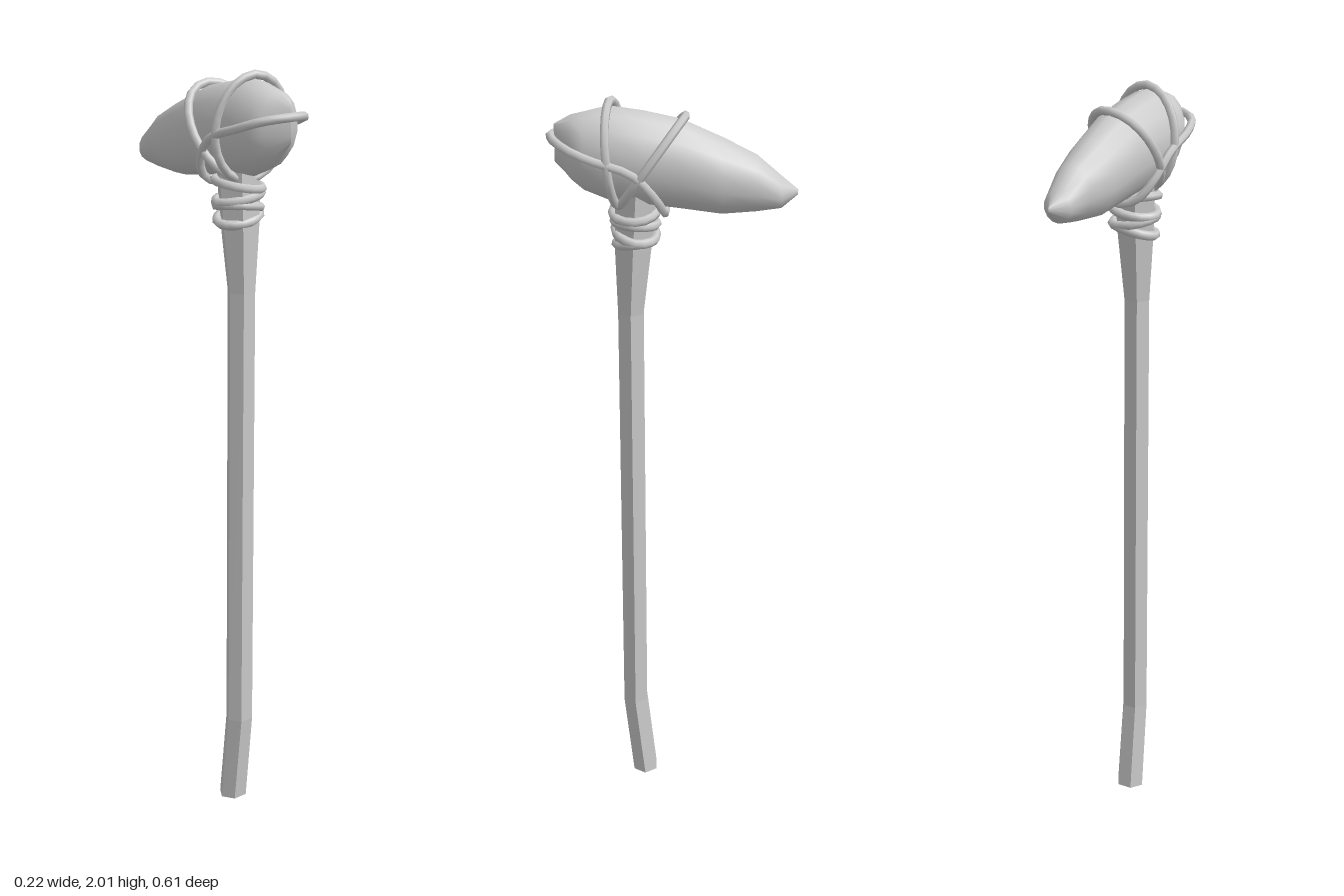
import * as THREE from 'three';

const stoneMat = new THREE.MeshStandardMaterial({ color: 0xcccccc });
const woodMat = new THREE.MeshStandardMaterial({ color: 0xcccccc, flatShading: true });

// Skin a list of equal-length rings of points, optionally closing both ends.
function loft(rings, caps) {
  const n = rings[0].length, index = [];
  for (let i = 0; i < rings.length - 1; i++) {
    for (let j = 0; j < n; j++) {
      const k = (j + 1) % n;
      const a = i * n + j, b = i * n + k, c = a + n, d = b + n;
      index.push(a, c, b, b, c, d);
    }
  }
  if (caps) {
    const t = (rings.length - 1) * n;
    for (let j = 1; j < n - 1; j++) index.push(0, j, j + 1, t, t + j + 1, t + j);
  }
  const geo = new THREE.BufferGeometry().setFromPoints(rings.flat());
  geo.setIndex(index);
  geo.computeVertexNormals();
  return geo;
}

function ring(n, fn) {
  return Array.from({ length: n }, (_, j) => fn((j / n) * Math.PI * 2));
}

// Stone sections: z, half width, top, bottom
const stone = [
  [-0.306, 0, 1.775, 1.762],
  [-0.265, 0.04, 1.808, 1.729],
  [-0.205, 0.055, 1.862, 1.72],
  [-0.12, 0.074, 1.906, 1.714],
  [-0.02, 0.083, 1.952, 1.728],
  [0.07, 0.088, 1.972, 1.74],
  [0.155, 0.087, 1.985, 1.75],
  [0.215, 0.073, 1.97, 1.775],
  [0.245, 0.058, 1.963, 1.8],
  [0.286, 0, 1.94, 1.845],
];

// Point on the stone at depth z, angle t from the top, pushed out by off.
function stonePoint(z, t, off = 0) {
  let i = 0;
  while (i < stone.length - 2 && z > stone[i + 1][0]) i++;
  const f = (z - stone[i][0]) / (stone[i + 1][0] - stone[i][0]);
  const [w, top, bot] = [1, 2, 3].map((k) => THREE.MathUtils.lerp(stone[i][k], stone[i + 1][k], f));
  return new THREE.Vector3(
    (w + off) * Math.sin(t),
    (top + bot) / 2 + ((top - bot) / 2 + off) * Math.cos(t),
    z
  );
}

function add(group, name, geo, mat) {
  const mesh = new THREE.Mesh(geo, mat);
  mesh.name = name;
  group.add(mesh);
}

// Closed loop of cord
function cord(points, segments = 24, radius = 0.011) {
  return new THREE.TubeGeometry(new THREE.CatmullRomCurve3(points, true), segments, radius, 6, true);
}

export function createModel() {
  const model = new THREE.Group();

  // Six-sided shaft, bent at the foot and flaring under the head: y, centre z, half x, half z
  const shaft = [
    [0, 0.08, 0.04, 0.032],
    [0.25, 0.106, 0.038, 0.032],
    [1.45, 0.106, 0.037, 0.032],
    [1.63, 0.098, 0.053, 0.045],
    [1.78, 0.09, 0.06, 0.05],
  ].map(([y, z, rx, rz]) =>
    ring(6, (t) => new THREE.Vector3(rx * Math.cos(t), y, z + (rz / 0.866) * Math.sin(t))));
  add(model, 'handle', loft(shaft, true), woodMat);

  // Stone head with a long rear point and a blunt wedge in front
  const rings = stone.map(([z]) => ring(14, (t) => stonePoint(z, t)));
  add(model, 'stoneHead', loft(rings, false), stoneMat);

  // Lashings over the stone
  const lashings = new THREE.Group();
  lashings.name = 'headLashings';
  model.add(lashings);
  add(lashings, 'diagonalLashing',
    cord(ring(12, (t) => stonePoint(0.05 - 0.08 * Math.cos(t) + 0.015 * Math.sin(t), t, 0.011))), stoneMat);
  add(lashings, 'uprightLashing',
    cord(ring(12, (t) => stonePoint(0.14 + 0.012 * Math.cos(t) + 0.018 * Math.sin(t), t, 0.011))), stoneMat);

  // Band round the blunt end, tied down behind the handle
  const half = [[0.07, 1.9, 0.257], [0.092, 1.88, 0.2], [0.098, 1.845, 0.1],
    [0.085, 1.785, 0.045], [0.05, 1.735, 0.022]].map((p) => new THREE.Vector3(...p));
  const mirrored = half.map((p) => new THREE.Vector3(-p.x, p.y, p.z)).reverse();
  add(lashings, 'frontBand', cord([new THREE.Vector3(0, 1.91, 0.296), ...half,
    new THREE.Vector3(0, 1.718, 0.018), ...mirrored], 28), stoneMat);

  // Tilted coils binding the neck: y, half x, half z, tilt in x, tilt in z
  const coils = new THREE.Group();
  coils.name = 'neckBinding';
  model.add(coils);
  [
    [1.64, 0.058, 0.049, 0.012, -0.006],
    [1.665, 0.06, 0.051, -0.01, 0.008],
    [1.69, 0.061, 0.053, 0.01, 0.004],
    [1.722, 0.063, 0.056, -0.01, -0.006],
  ].forEach(([y, rx, rz, tx, tz], i) => {
    const loop = ring(8, (t) => new THREE.Vector3(
      rx * Math.cos(t), y + tx * Math.cos(t) + tz * Math.sin(t), 0.092 + rz * Math.sin(t)));
    add(coils, 'coil' + (i + 1), cord(loop, 16, 0.012), stoneMat);
  });

  return model;
}
